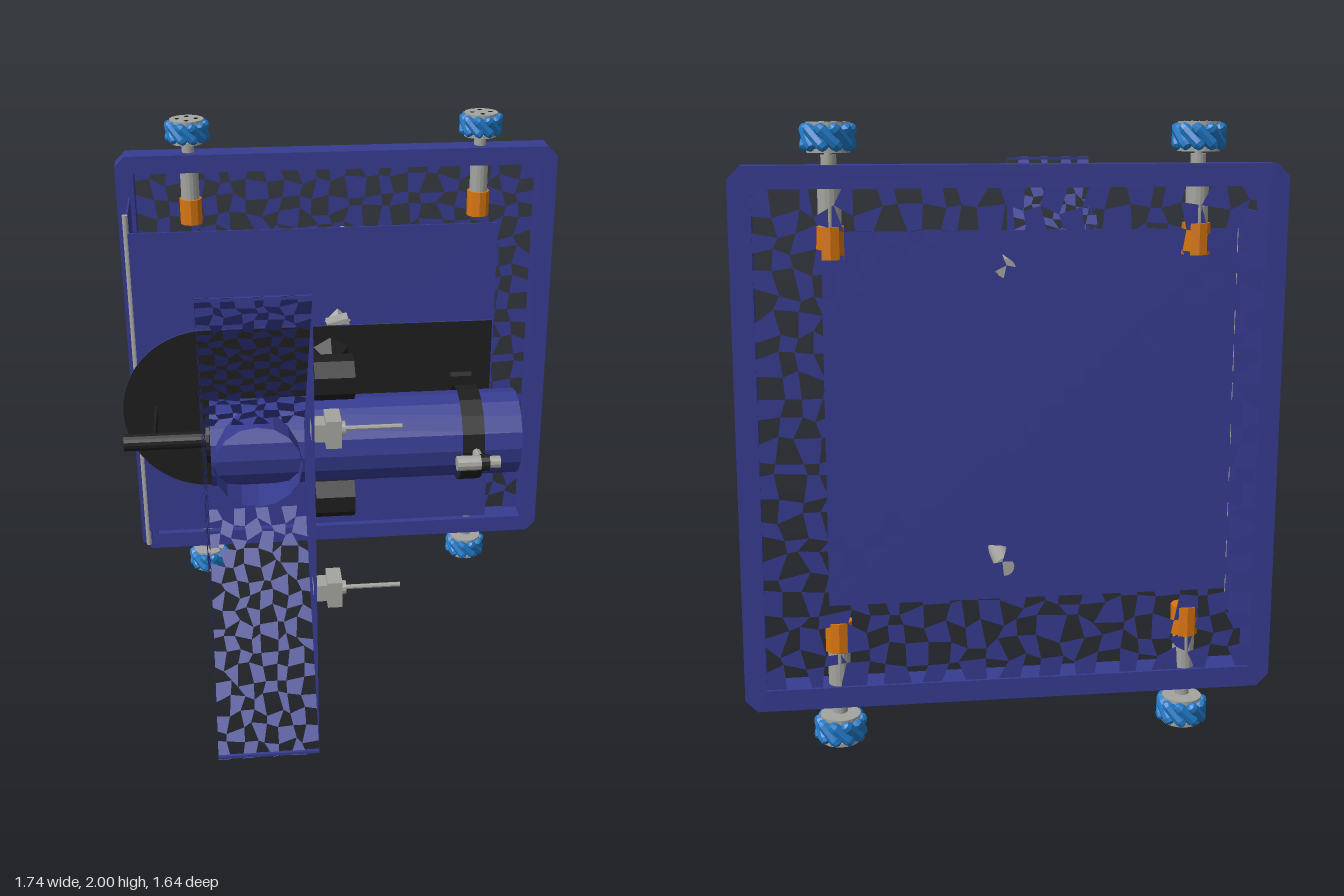
import * as THREE from 'three';

const mat = (name, color, double) => {
  const m = new THREE.MeshStandardMaterial({ color, flatShading: true, side: double ? THREE.DoubleSide : THREE.FrontSide });
  m.name = name;
  return m;
};

export function createModel() {
  const root = new THREE.Group();
  const blue = mat('navy panel', 0x363b90, true);
  const black = mat('black plastic', 0x1e1e1e, true);
  const gray = mat('gray metal', 0xa3a39f);
  const orange = mat('orange gearbox', 0xd8760f);
  const bright = mat('bright blue roller', 0x1f78c4);

  const add = (name, geo, m, x = 0, y = 0, z = 0, parent = root) => {
    const mesh = new THREE.Mesh(geo, m);
    mesh.name = name;
    mesh.position.set(x, y, z);
    parent.add(mesh);
    return mesh;
  };
  const box = (w, h, d) => new THREE.BoxGeometry(w, h, d);
  const cyl = (r, len, axis = 'y', sides = 16, r2 = r, open = false) => {
    const g = new THREE.CylinderGeometry(r, r2, len, sides, 1, open);
    if (axis === 'x') g.rotateZ(-Math.PI / 2);
    if (axis === 'z') g.rotateX(Math.PI / 2);
    return g;
  };

  // Seeded jitter for the irregular openings in the netting
  let seed = 7;
  const rand = () => (seed = (seed * 16807) % 2147483647) / 2147483647 - 0.5;

  // Netting: jittered checkerboard spread between four corners a, b, c, d
  const netting = (a, b, c, d, nu, nv) => {
    const [A, B, C, D] = [a, b, c, d].map(p => new THREE.Vector3(...p));
    const pos = [], idx = [];
    for (let j = 0; j <= nv; j++) for (let i = 0; i <= nu; i++) {
      const u = (i + (i % nu ? rand() * 0.7 : 0)) / nu;
      const v = (j + (j % nv ? rand() * 0.7 : 0)) / nv;
      const p = A.clone().lerp(B, u).lerp(D.clone().lerp(C, u), v);
      pos.push(p.x, p.y, p.z);
    }
    for (let j = 0; j < nv; j++) for (let i = 0; i < nu; i++) {
      if ((i + j) % 2) continue;
      const k = j * (nu + 1) + i;
      idx.push(k, k + 1, k + nu + 2, k, k + nu + 2, k + nu + 1);
    }
    const g = new THREE.BufferGeometry();
    g.setAttribute('position', new THREE.Float32BufferAttribute(pos, 3));
    g.setIndex(idx);
    g.computeVertexNormals();
    return g;
  };

  // Square frame with clipped corners
  const s = 0.87, c = 0.83, h = 0.8;
  const outline = new THREE.Shape([[c, s], [-c, s], [-s, c], [-s, -c], [-c, -s], [c, -s], [s, -c], [s, c]]
    .map(p => new THREE.Vector2(...p)));
  outline.holes.push(new THREE.Path([[h, h], [h, -h], [-h, -h], [-h, h]].map(p => new THREE.Vector2(...p))));
  add('frame', new THREE.ExtrudeGeometry(outline, { depth: 0.1, bevelEnabled: false }), blue, 0, 1, -0.78);
  add('frameNetting', netting([-h, 1 - h, -0.77], [h, 1 - h, -0.77], [h, 1 + h, -0.77], [-h, 1 + h, -0.77], 25, 25), blue);

  // Roller wheels with motors at the four corners
  for (const x of [-0.585, 0.565]) for (const side of [1, -1]) {
    const unit = new THREE.Group();
    unit.name = 'wheelUnit';
    unit.position.set(x, 1, -0.735);
    if (side < 0) unit.rotation.z = Math.PI;
    root.add(unit);
    for (const y of [0.913, 0.993]) add('hubPlate', cyl(0.066, 0.012, 'y', 20), gray, 0, y, 0, unit);
    add('hub', cyl(0.045, 0.08), gray, 0, 0.953, 0, unit);
    for (let i = 0; i < 10; i++) {
      const a = i / 10 * Math.PI * 2;
      const holder = new THREE.Group();
      holder.name = 'rollerHolder';
      holder.rotation.y = a;
      holder.position.y = 0.953;
      unit.add(holder);
      add('roller', new THREE.CapsuleGeometry(0.02, 0.065, 2, 8), bright, 0, 0, 0.064, holder).rotation.z = 0.8;
    }
    for (let i = 0; i < 4; i++) {
      const a = i / 4 * Math.PI * 2;
      add('hubHole', cyl(0.009, 0.003, 'y', 8), black, Math.cos(a) * 0.036, 0.9985, Math.sin(a) * 0.036, unit);
    }
    add('axle', cyl(0.012, 0.13), gray, 0, 0.85, 0, unit);
    add('collar', cyl(0.024, 0.03), gray, 0, 0.885, 0, unit);
    add('motor', cyl(0.036, 0.12), gray, 0, 0.74, 0, unit);
    add('gearbox', cyl(0.045, 0.1, 'y', 10), orange, 0, 0.635, 0, unit);
  }

  // Tall blue deck with a folded side panel and hinge rod
  add('deck', box(1.41, 1.285, 0.008), blue, -0.115, 0.998, -0.44);
  add('sidePanel', box(0.008, 1.42, 0.23), blue, -0.82, 1, -0.56);
  add('hingeRod', cyl(0.011, 1.42), gray, -0.826, 1, -0.445);

  // Pistons between frame and deck
  for (const y of [0.55, 1.54]) {
    add('piston', cyl(0.031, 0.18, 'z'), gray, 0.012, y, -0.585);
    add('pistonNeck', cyl(0.016, 0.05, 'z'), gray, 0.012, y, -0.48);
    add('pistonBall', new THREE.SphereGeometry(0.029, 10, 8), gray, 0.012, y, -0.465);
  }

  // Swivel mounts joining the deck to the upper plate
  for (const [x, y] of [[-0.035, 1.28], [-0.035, 0.73], [0.488, 1]]) {
    add('mountJoint', new THREE.OctahedronGeometry(0.052), gray, x, y, -0.388);
    add('mountBlock', box(0.085, 0.085, 0.065), gray, x, y, -0.31).rotation.z = 0.25;
    add('mountStem', cyl(0.014, 0.09, 'z', 8), gray, x, y, -0.39);
  }
  add('mountFoot', box(0.085, 0.07, 0.07), gray, -0.34, 1, -0.39).rotation.y = 0.15;

  // Round-ended plate, black on its front, with turntable behind
  const plate = new THREE.Shape();
  plate.moveTo(0.54, 0.675);
  plate.lineTo(0.54, 1.325);
  plate.lineTo(-0.545, 1.325);
  plate.absarc(-0.545, 1, 0.325, Math.PI / 2, Math.PI * 1.5, false);
  const slab = depth => new THREE.ExtrudeGeometry(plate, { depth, bevelEnabled: false, curveSegments: 24 });
  add('upperPlate', slab(0.008), blue, 0, 0, -0.231);
  add('upperPlateFace', slab(0.002), black, 0, 0, -0.223);
  add('turntable', cyl(0.235, 0.06, 'z', 20), black, -0.35, 1, -0.262);

  // Open barrel with a branch leading forward into the hopper
  const r = 0.157, tz = 0.068;
  add('barrel', cyl(r, 1.12, 'x', 16, r, true), blue, 0.02, 1, tz);
  const branch = cyl(r, 1, 'z', 16, r, true);
  const bp = branch.attributes.position;
  for (let i = 0; i < bp.count; i++) {
    const y = bp.getY(i);
    bp.setZ(i, bp.getZ(i) > 0 ? 0.28 : tz + Math.sqrt(Math.max(0, r * r - y * y)));
  }
  add('barrelBranch', branch, blue, -0.375, 1, 0);

  // Hopper: one solid wall, the other three made of netting
  const xl = -0.555, xr = -0.21, z0 = 0.27, z1 = 0.82, n = 0.165, f = 0.837;
  const wall = new THREE.Shape([[z0, 1 - n], [z1, 1 - f], [z1, 1 + f], [z0, 1 + n]].map(p => new THREE.Vector2(...p)));
  add('hopperWall', new THREE.ShapeGeometry(wall).rotateY(-Math.PI / 2), blue, xr, 0, 0);
  add('hopperSideNetting', netting([xl, 1 - n, z0], [xl, 1 - f, z1], [xl, 1 + f, z1], [xl, 1 + n, z0], 10, 24), blue);
  for (const k of [1, -1]) {
    add('hopperSlopeNetting', netting([xl, 1 + k * n, z0], [xr, 1 + k * n, z0], [xr, 1 + k * f, z1], [xl, 1 + k * f, z1], 8, 17), blue);
    add('hopperLip', box(xr - xl, 0.01, 0.012), blue, (xl + xr) / 2, 1 + k * (f - 0.007), z1 - 0.006);
  }

  // Strap holding the barrel, with arms down to the plate
  add('strap', cyl(0.174, 0.08, 'x', 16, 0.174, true), black, 0.4, 1, tz);
  for (const k of [1, -1]) {
    const arm = add('strapArm', box(0.08, 0.016, 0.17), black, 0.4, 1 + k * 0.14, -0.15);
    arm.rotation.x = -k * 0.4;
  }
  add('valveStub', cyl(0.016, 0.09, 'z', 10), gray, 0.41, 1, 0.275);
  add('valveBody', cyl(0.027, 0.09, 'x', 12), gray, 0.37, 1, 0.318);
  add('valveRing', cyl(0.03, 0.03, 'x', 12), black, 0.425, 1, 0.318);
  add('valveTip', cyl(0.022, 0.04, 'x', 12), gray, 0.46, 1, 0.318);

  // Drums above and below the barrel, clamps on the hopper wall
  for (const k of [1, -1]) {
    const y = 1 + k * 0.24;
    add('drum', cyl(0.092, 0.145, 'x', 8).rotateX(Math.PI / 8).scale(1, 0.88, 1), black, -0.09, y, 0.06);
    add('drumStem', cyl(0.01, 0.13, 'z', 8), black, -0.09, 1 + k * 0.22, -0.08);
    add('drumFoot', cyl(0.02, 0.07, 'z', 6, 0.075), black, -0.08, 1 + k * 0.225, -0.135);
    const cy = k > 0 ? 1.313 : 0.715;
    add('clampBody', box(0.05, 0.095, 0.1), gray, -0.14, cy, 0.637);
    add('clampBase', box(0.05, 0.06, 0.07), gray, -0.185, cy, 0.637);
    add('clampWasher', cyl(0.024, 0.016, 'x', 12), gray, -0.108, cy, 0.637);
    add('clampRod', cyl(0.008, 0.2, 'x', 8), gray, -0.015, cy, 0.637);
  }

  // Drive motor at the closed end of the barrel
  add('driveMotor', cyl(0.031, 0.3, 'x'), black, -0.705, 1, 0.035);
  add('drivePulley', cyl(0.088, 0.014, 'x', 20), black, -0.55, 1, 0.035);
  for (const x of [-0.745, -0.573]) add('driveBracket', box(0.01, 0.05, 0.25), black, x, 1, -0.1);

  return root;
}
